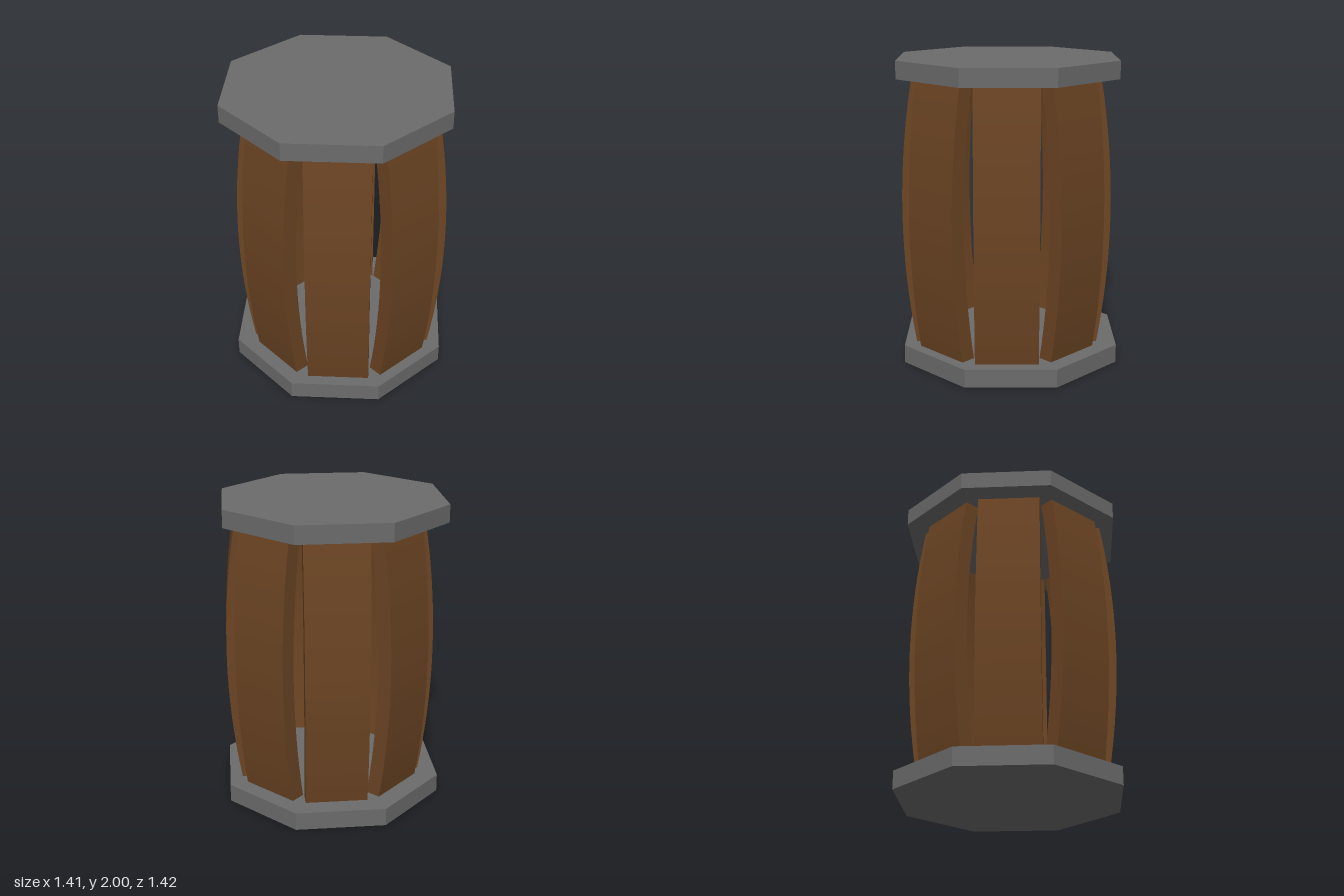
import * as THREE from 'three';

const wood = new THREE.MeshStandardMaterial({ color: 0x6b4423, flatShading: true });
const metal = new THREE.MeshStandardMaterial({ color: 0x6b6b6b, flatShading: true });

// Curved plank, bulging outward along +x at mid height
function staveGeometry(width, thickness, y0, y1, steps = 16) {
  const outer = [], inner = [];
  for (let i = 0; i <= steps; i++) {
    const y = y0 + (y1 - y0) * i / steps;
    const r = 0.677 - 0.076 * ((y - 1) / 0.88) ** 2;
    outer.push(new THREE.Vector2(r, y));
    inner.unshift(new THREE.Vector2(r - thickness, y));
  }
  const geo = new THREE.ExtrudeGeometry(new THREE.Shape([...outer, ...inner]), {
    depth: width, bevelEnabled: false,
  });
  return geo.translate(0, 0, -width / 2);
}

// Octagonal end plate with a flat side facing the front
function plate(name, y0, y1, z) {
  const radius = 0.702 / Math.cos(Math.PI / 8);
  const geo = new THREE.CylinderGeometry(radius, radius, y1 - y0, 8).rotateY(Math.PI / 8);
  const mesh = new THREE.Mesh(geo, metal);
  mesh.name = name;
  mesh.position.set(-0.006, (y0 + y1) / 2, z);
  return mesh;
}

export function createModel() {
  const barrel = new THREE.Group();
  barrel.name = 'barrel';

  // End plates, slightly out of line with each other
  barrel.add(plate('bottomPlate', 0, 0.12, -0.01));
  barrel.add(plate('topPlate', 1.885, 2, 0.011));

  // Ring of eight staves
  const staves = new THREE.Group();
  staves.name = 'staves';
  staves.position.set(0.023, 0, -0.004);
  const geo = staveGeometry(0.405, 0.1, 0.11, 1.89);
  for (let i = 0; i < 8; i++) {
    const stave = new THREE.Mesh(geo, wood);
    stave.name = `stave${i + 1}`;
    stave.rotation.y = i * Math.PI / 4;
    staves.add(stave);
  }
  barrel.add(staves);
  return barrel;
}
